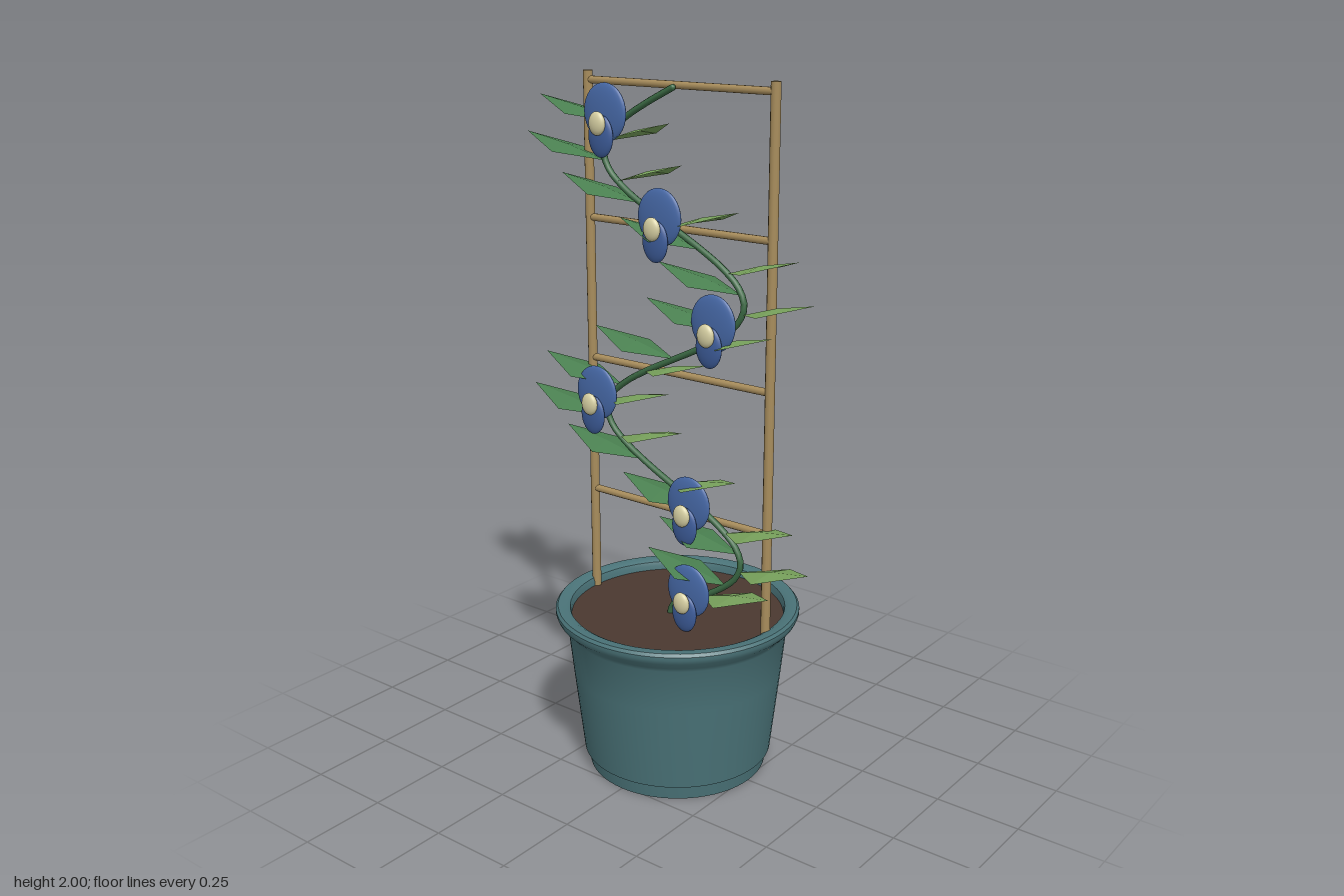
import * as THREE from 'three';
import { toCreasedNormals } from 'three/addons/utils/BufferGeometryUtils.js';

function material(name, color, side = THREE.FrontSide) {
  const m = new THREE.MeshStandardMaterial({ color, side });
  m.name = name;
  return m;
}

export function createModel() {
  const group = new THREE.Group();
  const glaze = material('teal glaze', 0x4a7378);
  const earth = material('brown soil', 0x4a3830);
  const cane = material('cane', 0xa88d5c);
  const stemGreen = material('stem green', 0x3c6b45);
  const darkLeaf = material('dark leaf', 0x4a8050, THREE.DoubleSide);
  const lightLeaf = material('light leaf', 0x7ba65e, THREE.DoubleSide);
  const petalBlue = material('petal blue', 0x4668a6);
  const lipBlue = material('lip blue', 0x3d5c99);
  const cream = material('cream', 0xd6cfa2);

  function add(name, geometry, mat, x = 0, y = 0, z = 0, parent = group) {
    const mesh = new THREE.Mesh(geometry, mat);
    mesh.name = name;
    mesh.position.set(x, y, z);
    parent.add(mesh);
    return mesh;
  }

  // Pot: foot, tapered wall, flared rim and inner lip
  const profile = [
    [0, 0], [0.262, 0], [0.267, 0.04], [0.278, 0.045], [0.29, 0.15], [0.307, 0.3],
    [0.321, 0.432], [0.328, 0.445], [0.35, 0.468], [0.356, 0.482], [0.356, 0.492],
    [0.349, 0.5], [0.325, 0.5], [0.314, 0.494], [0.31, 0.482], [0.308, 0.44],
  ].map(([r, y]) => new THREE.Vector2(r, y));
  add('pot', toCreasedNormals(new THREE.LatheGeometry(profile, 64), 0.6), glaze);
  add('soil', new THREE.CylinderGeometry(0.311, 0.308, 0.02, 64), earth, 0, 0.46);

  // Trellis: two stakes and four rungs
  for (const side of [-1, 1]) {
    add('stake', new THREE.CylinderGeometry(0.0135, 0.0135, 1.56, 12), cane, side * 0.312, 1.22);
  }
  for (const y of [0.785, 1.19, 1.597, 1.975]) {
    add('rung', new THREE.CylinderGeometry(0.0105, 0.0105, 0.62, 10), cane, 0, y).rotation.z = Math.PI / 2;
  }

  // Vine: two full waves from the soil to the top rung
  const vineX = (y) => 0.24 * Math.sin((2 * Math.PI * (y - 0.5)) / 0.735);
  const path = [new THREE.Vector3(-0.01, 0.465, 0.022)];
  for (let i = 0; i <= 32; i++) {
    const y = 0.5 + (1.47 * i) / 32;
    path.push(new THREE.Vector3(vineX(y), y, 0.022));
  }
  add('vine', new THREE.TubeGeometry(new THREE.CatmullRomCurve3(path), 120, 0.009, 8), stemGreen);
  add('vineTip', new THREE.SphereGeometry(0.009, 8, 6), stemGreen, 0, 1.97, 0.022);

  // Leaf: diamond folded along a raised midrib, rising outward
  function leafGeometry(side) {
    const base = [0, 0, 0];
    const rib = [0.12 * side, 0.039, 0.02];
    const tip = [0.252 * side, 0.067, 0.038];
    const back = [0.132 * side, 0.025, -0.057];
    const front = [0.108 * side, 0.025, 0.097];
    const faces = [[base, rib, back], [rib, tip, back], [base, front, rib], [rib, front, tip]];
    const corners = faces.flatMap((f) => (side > 0 ? f : [f[0], f[2], f[1]])).flat();
    const geometry = new THREE.BufferGeometry();
    geometry.setAttribute('position', new THREE.Float32BufferAttribute(corners, 3));
    geometry.computeVertexNormals();
    return geometry;
  }
  const rightLeaf = leafGeometry(-1);
  const leftLeaf = leafGeometry(1);
  for (let k = 0; k < 26; k++) {
    const y = 0.555 + 0.0525 * k;
    const isLeft = k % 2 === 0;
    add('leaf', isLeft ? leftLeaf : rightLeaf, isLeft ? lightLeaf : darkLeaf, vineX(y), y, 0.022);
  }

  // Flowers: round petal, hanging lip and pale centre
  const ball = new THREE.SphereGeometry(1, 24, 16);
  const flowers = [
    [-0.185, 1.873], [0, 1.61], [0.18, 1.348], [-0.23, 1.086], [0.1, 0.823], [0.1, 0.56],
  ];
  for (const [x, y] of flowers) {
    const flower = new THREE.Group();
    flower.name = 'flower';
    flower.position.set(x, y, 0);
    group.add(flower);
    add('petal', ball, petalBlue, 0, 0.027, 0.078, flower).scale.set(0.073, 0.078, 0.015);
    add('lip', ball, lipBlue, 0, -0.035, 0.097, flower).scale.set(0.042, 0.057, 0.014);
    add('flowerCentre', ball, cream, 0, 0, 0.112, flower).scale.set(0.027, 0.032, 0.014);
  }
  return group;
}
